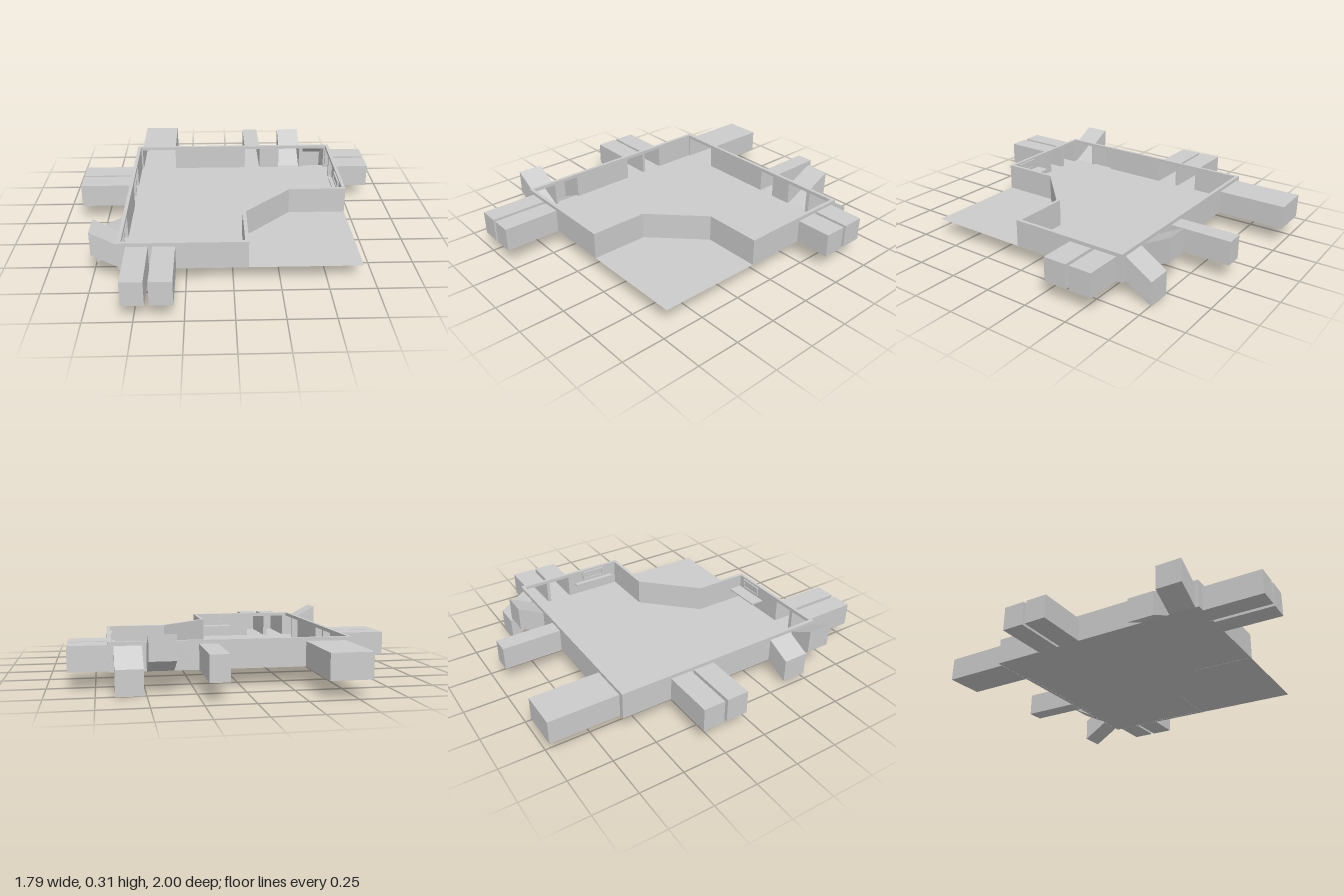
import * as THREE from 'three';

const FLOOR = 0.095, DOOR_TOP = 0.23, WALL_TOP = 0.25;
const mat = new THREE.MeshStandardMaterial({ color: 0xcccccc, flatShading: true, side: THREE.DoubleSide });

// Wall outline as [x, z], outer and inner face, corner by corner
const outer = [[-0.6, -0.605], [0.685, -0.605], [0.685, 0.075], [0.35, 0.075], [0.08, 0.345], [0.08, 0.677], [-0.6, 0.677]];
const inner = [[-0.58, -0.585], [0.665, -0.585], [0.665, 0.055], [0.342, 0.055], [0.06, 0.337], [0.06, 0.657], [-0.58, 0.657]];

// Passages per side: [from, to, length, rise], measured along the wall
const sides = {
  back: { edge: 0, axis: 0, turn: Math.PI, wall: -0.605, passages: [
    [-0.57, -0.35, 0.395, 0], [0.12, 0.22, 0.345, 0], [0.35, 0.49, 0.15, 0.075], [0.513, 0.655, 0.15, -0.095]] },
  left: { edge: 1, axis: 1, turn: Math.PI / 2, wall: 0.685, passages: [
    [-0.57, -0.44, 0.205, 0], [-0.42, -0.287, 0.205, 0]] },
  front: { edge: 5, axis: 0, turn: 0, wall: 0.677, passages: [
    [-0.555, -0.44, 0.323, 0], [-0.417, -0.3, 0.323, 0]] },
  right: { edge: 6, axis: 1, turn: -Math.PI / 2, wall: -0.6, passages: [
    [-0.313, -0.187, 0.297, 0], [-0.17, -0.043, 0.297, 0], [0.352, 0.5, 0.14, -0.065], [0.512, 0.657, 0.14, 0.075]] },
};

function add(parent, name, geometry) {
  const mesh = new THREE.Mesh(geometry, mat);
  mesh.name = name;
  parent.add(mesh);
  return mesh;
}

// Extrude a plan outline upward between two heights
function slab(points, y0, y1, hole) {
  const path = pts => pts.map(([x, z]) => new THREE.Vector2(x, -z));
  const shape = new THREE.Shape(path(points));
  if (hole) shape.holes.push(new THREE.Path(path(hole)));
  return new THREE.ExtrudeGeometry(shape, { depth: y1 - y0, bevelEnabled: false })
    .rotateX(-Math.PI / 2).translate(0, y0, 0);
}

// Wall pieces of one edge, leaving gaps at the doorways
function addWallEdge(parent, i, side) {
  const j = (i + 1) % outer.length;
  let start = [outer[i], inner[i]];
  if (side) {
    const k = side.axis, sign = Math.sign(outer[j][k] - outer[i][k]);
    const doors = side.passages.map(p => sign > 0 ? [p[0], p[1]] : [p[1], p[0]]).sort((a, b) => sign * (a[0] - b[0]));
    const cut = t => [outer[i], inner[i]].map(p => k === 0 ? [t, p[1]] : [p[0], t]);
    for (const [from, to] of doors) {
      const end = cut(from);
      add(parent, 'wallPiece', slab([start[0], end[0], end[1], start[1]], FLOOR, DOOR_TOP));
      start = cut(to);
    }
  }
  add(parent, 'wallPiece', slab([start[0], outer[j], inner[j], start[1]], FLOOR, DOOR_TOP));
}

// Hollow passage, open toward the room, its far end raised or lowered
function passageGeometry(width, length, rise) {
  const h = DOOR_TOP - FLOOR;
  const geo = new THREE.BoxGeometry(width, h, length).translate(0, FLOOR + h / 2, length / 2);
  geo.setIndex(Array.from(geo.index.array).slice(0, 30));
  geo.clearGroups();
  const pos = geo.attributes.position;
  for (let i = 0; i < pos.count; i++) if (pos.getZ(i) > length / 2) pos.setY(i, pos.getY(i) + rise);
  geo.computeVertexNormals();
  return geo;
}

// Wall screen with a raised frame and a shelf below, facing -z locally
function makeConsole(screenW, shelfW, shelfD) {
  const g = new THREE.Group();
  g.name = 'console';
  const rect = (w, h) => [[-w / 2, -h / 2], [w / 2, -h / 2], [w / 2, h / 2], [-w / 2, h / 2]].map(p => new THREE.Vector2(...p));
  const frame = new THREE.Shape(rect(screenW, 0.055));
  frame.holes.push(new THREE.Path(rect(screenW - 0.02, 0.035)));
  add(g, 'screenFrame', new THREE.ExtrudeGeometry(frame, { depth: 0.01, bevelEnabled: false })).position.set(0, 0.212, -0.01);
  add(g, 'screen', new THREE.BoxGeometry(screenW - 0.02, 0.035, 0.004)).position.set(0, 0.212, -0.002);
  add(g, 'shelf', new THREE.BoxGeometry(shelfW, 0.008, shelfD)).position.set(0, 0.168, -shelfD / 2);
  return g;
}

export function createModel() {
  const model = new THREE.Group();
  model.name = 'roomWithPassages';

  // Square floor, running past the cut corner of the walls
  add(model, 'floor', new THREE.PlaneGeometry(1.285, 1.282).rotateX(-Math.PI / 2)).position.set(0.0425, FLOOR + 0.001, 0.036);

  // Walls with doorways and a continuous band above them
  const walls = new THREE.Group();
  walls.name = 'walls';
  outer.forEach((_, i) => addWallEdge(walls, i, Object.values(sides).find(s => s.edge === i)));
  add(walls, 'lintelBand', slab(outer, DOOR_TOP, WALL_TOP, inner));
  model.add(walls);

  // Corridors and sloping stair shafts
  for (const [name, { axis, turn, wall, passages }] of Object.entries(sides)) {
    for (const [from, to, length, rise] of passages) {
      const mesh = add(model, name + (rise ? 'StairShaft' : 'Corridor'), passageGeometry(to - from, length, rise));
      const mid = (from + to) / 2;
      mesh.rotation.y = turn;
      mesh.position.set(axis === 0 ? mid : wall, 0, axis === 0 ? wall : mid);
    }
  }

  // Consoles on the front and left walls
  const frontConsole = makeConsole(0.14, 0.23, 0.08);
  frontConsole.position.set(-0.05, 0, 0.657);
  const leftConsole = makeConsole(0.15, 0.265, 0.027);
  leftConsole.rotation.y = Math.PI / 2;
  leftConsole.position.set(0.665, 0, -0.11);
  model.add(frontConsole, leftConsole);

  return model;
}
